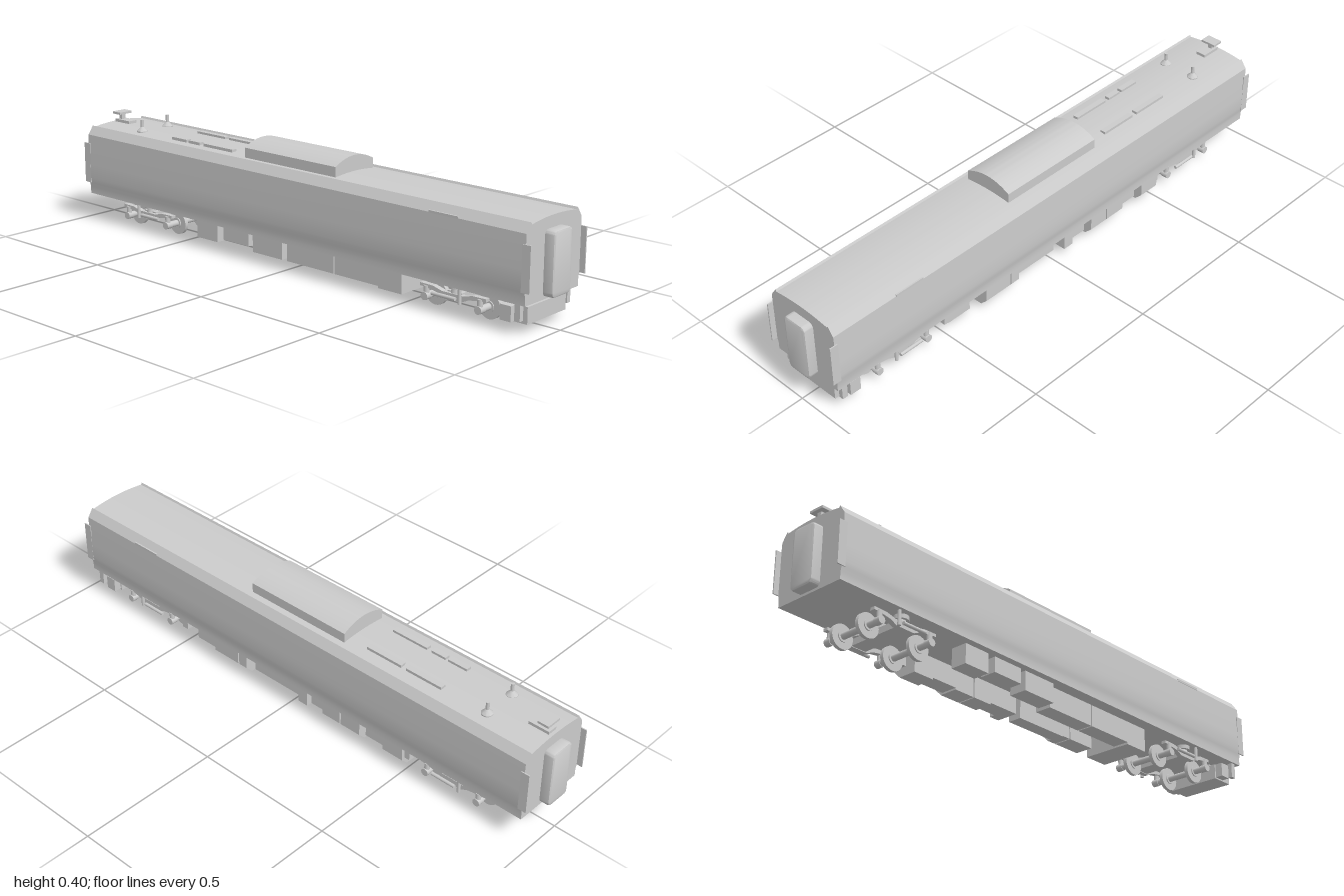
import * as THREE from 'three';
import { toCreasedNormals } from 'three/addons/utils/BufferGeometryUtils.js';

const material = new THREE.MeshStandardMaterial({ color: 0xcccccc });

function add(parent, name, geometry, x = 0, y = 0, z = 0) {
  const mesh = new THREE.Mesh(geometry, material);
  mesh.name = name;
  mesh.position.set(x, y, z);
  parent.add(mesh);
  return mesh;
}

// Box given by its limits on each axis
function box(parent, name, [x0, x1], [y0, y1], [z0, z1]) {
  const geometry = new THREE.BoxGeometry(x1 - x0, y1 - y0, z1 - z0);
  return add(parent, name, geometry, (x0 + x1) / 2, (y0 + y1) / 2, (z0 + z1) / 2);
}

// Cross-section in x and y, drawn out along z
function prism(parent, name, shape, z0, z1) {
  const geometry = new THREE.ExtrudeGeometry(shape, { depth: z1 - z0, bevelEnabled: false, curveSegments: 24 });
  return add(parent, name, toCreasedNormals(geometry, 0.3), 0, 0, z0);
}

function polygon(points) {
  return new THREE.Shape(points.map(([x, y]) => new THREE.Vector2(x, y)));
}

// Cylinder lying along x
function crossCylinder(parent, name, radius, length, x, y, z) {
  return add(parent, name, new THREE.CylinderGeometry(radius, radius, length, 28).rotateZ(Math.PI / 2), x, y, z);
}

function roundedRect(w, y0, y1, r) {
  const s = new THREE.Shape();
  s.moveTo(-w + r, y0).lineTo(w - r, y0).quadraticCurveTo(w, y0, w, y0 + r);
  s.lineTo(w, y1 - r).quadraticCurveTo(w, y1, w - r, y1);
  s.lineTo(-w + r, y1).quadraticCurveTo(-w, y1, -w, y1 - r);
  s.lineTo(-w, y0 + r).quadraticCurveTo(-w, y0, -w + r, y0);
  return s;
}

function makeBody(car) {
  // Shell with tumblehome sides, raised gutters and an arched roof
  const side = [[0.135, 0.098], [0.135, 0.123], [0.139, 0.14], [0.142, 0.158], [0.142, 0.21], [0.138, 0.316], [0.117, 0.346], [0.113, 0.339]];
  const shell = polygon(side);
  shell.quadraticCurveTo(0, 0.357, -0.113, 0.339);
  side.reverse().slice(1).forEach(([x, y]) => shell.lineTo(-x, y));
  prism(car, 'bodyShell', shell, -0.966, 0.966);

  for (const end of [1, -1]) {
    // Gangway with a softly bevelled outer face
    const geometry = new THREE.ExtrudeGeometry(roundedRect(0.041, 0.112, 0.304, 0.012), {
      depth: 0.026, bevelThickness: 0.008, bevelSize: 0.006, bevelSegments: 2, curveSegments: 6,
    });
    const gangway = add(car, 'gangway', toCreasedNormals(geometry, 0.6), 0, 0, end * 0.966);
    if (end < 0) gangway.rotation.y = Math.PI;
    for (const s of [1, -1]) {
      const plate = box(car, 'cornerPlate', [-0.002, 0.002], [0.14, 0.285], [-0.015, 0.015]);
      plate.position.x = s * 0.1405;
      plate.position.z = end * 0.97;
    }
  }
  // Rain strips above the side doors
  for (const s of [1, -1]) {
    const strip = box(car, 'rainStrip', [-0.003, 0.003], [-0.004, 0.004], [0.61, 0.72]);
    strip.position.x = s * 0.136;
    strip.position.y = 0.318;
  }
}

function makeRoof(car) {
  const unit = polygon([[-0.09, 0.335], [0.09, 0.335], [0.09, 0.376]]);
  unit.quadraticCurveTo(0, 0.425, -0.09, 0.376);
  prism(car, 'roofUnit', unit, -0.213, 0.193);

  // Low roof boxes
  for (const [x, z0, z1] of [
    [0.059, -0.43, -0.29], [0.059, -0.59, -0.45],
    [-0.064, -0.43, -0.29], [-0.064, -0.505, -0.45], [-0.064, -0.59, -0.515],
  ]) box(car, 'roofBox', [x - 0.01, x + 0.01], [0.338, 0.354], [z0, z1]);

  // Aerials
  const profile = [[0.019, 0], [0.019, 0.006], [0.009, 0.016], [0.006, 0.02], [0.006, 0.046], [0, 0.046]]
    .map(([r, y]) => new THREE.Vector2(r, y));
  const aerial = toCreasedNormals(new THREE.LatheGeometry(profile, 20), 0.5);
  for (const s of [1, -1]) add(car, 'aerial', aerial, s * 0.06, 0.342, -0.76);

  // Small raised platform at the back
  const horn = new THREE.Group();
  horn.name = 'roofHorn';
  box(horn, 'hornBase', [-0.018, 0.018], [0.34, 0.358], [-0.955, -0.88]);
  box(horn, 'hornPost', [-0.008, 0.008], [0.355, 0.38], [-0.945, -0.93]);
  box(horn, 'hornPlate', [-0.028, 0.028], [0.378, 0.386], [-0.958, -0.918]);
  car.add(horn);
}

function makeBogie() {
  const bogie = new THREE.Group();
  bogie.name = 'bogie';
  for (const z of [-0.102, 0.102]) {
    crossCylinder(bogie, 'axle', 0.011, 0.21, 0, 0.042, z);
    for (const s of [1, -1]) {
      crossCylinder(bogie, 'wheel', 0.041, 0.013, s * 0.056, 0.042, z);
      crossCylinder(bogie, 'wheelHub', 0.018, 0.02, s * 0.056, 0.042, z);
      crossCylinder(bogie, 'axleBox', 0.013, 0.024, s * 0.108, 0.042, z);
      const spring = new THREE.CylinderGeometry(0.009, 0.009, 0.026, 14);
      add(bogie, 'axleSpring', spring, s * 0.108, 0.062, z);
    }
  }
  // Side frames: dropped in the middle, raised over the axle boxes
  const half = [[0, 0.05], [0.035, 0.05], [0.06, 0.062], [0.11, 0.07], [0.125, 0.07], [0.125, 0.08], [0.075, 0.079], [0.04, 0.07], [0, 0.07]];
  const outline = polygon([...half, ...half.slice(1, -1).reverse().map(([z, y]) => [-z, y])]);
  const frame = new THREE.ExtrudeGeometry(outline, { depth: 0.018, bevelEnabled: false });
  frame.translate(0, 0, -0.009).rotateY(-Math.PI / 2);
  for (const s of [1, -1]) {
    add(bogie, 'sideFrame', frame, s * 0.102, 0, 0);
    add(bogie, 'airSpring', new THREE.CylinderGeometry(0.024, 0.024, 0.014, 24), s * 0.091, 0.091, 0);
    add(bogie, 'springSeat', new THREE.CylinderGeometry(0.014, 0.018, 0.02, 18), s * 0.091, 0.076, 0);
    add(bogie, 'damper', new THREE.CylinderGeometry(0.006, 0.006, 0.05, 12), s * 0.121, 0.072, 0.035);
    const yaw = new THREE.CylinderGeometry(0.006, 0.006, 0.09, 12).rotateX(Math.PI / 2);
    add(bogie, 'yawDamper', yaw, s * 0.123, 0.06, -0.025);
  }
  box(bogie, 'bolster', [-0.1, 0.1], [0.052, 0.074], [-0.028, 0.028]);
  add(bogie, 'pivot', new THREE.CylinderGeometry(0.022, 0.022, 0.03, 20), 0, 0.086, 0);
  return bogie;
}

function makeUnderfloor(car) {
  // Plain boxes: x limits, bottom, z limits
  for (const [x0, x1, y, z0, z1] of [
    [-0.09, 0.09, 0.015, 0.375, 0.47],
    [-0.09, -0.03, 0.022, 0.19, 0.375],
    [-0.09, -0.03, 0.022, -0.02, 0.185],
    [-0.11, -0.045, 0.03, -0.16, -0.025],
    [-0.11, -0.05, 0.045, -0.3, -0.18],
    [-0.11, -0.05, 0.03, -0.43, -0.33],
    [0.04, 0.09, 0.022, -0.02, 0.19],
    [0.04, 0.12, 0.03, -0.08, -0.04],
    [0.04, 0.1, 0.03, -0.16, -0.08],
    [0.04, 0.1, 0.03, -0.42, -0.32],
    [0.08, 0.12, 0.055, 0.49, 0.515],
    [0.08, 0.12, 0.055, -0.52, -0.5],
  ]) box(car, 'equipmentBox', [x0, x1], [y, 0.1], [z0, z1]);

  // Cabinets with the lower outer edge cut away
  const cabinet = polygon([[0.04, 0.1], [0.04, 0.024], [0.106, 0.024], [0.132, 0.05], [0.132, 0.1]]);
  for (const [z0, z1] of [[0.23, 0.34], [0.19, 0.225], [-0.235, -0.16], [-0.32, -0.24], [-0.5, -0.42]])
    prism(car, 'cabinet', cabinet, z0, z1);

  // Front end box with side brackets
  box(car, 'endBox', [-0.097, 0.097], [0.03, 0.084], [0.865, 0.95]);
  for (const s of [1, -1]) {
    const x = s * 0.11;
    box(car, 'endBracket', [x - 0.014, x + 0.014], [0.035, 0.084], [0.87, 0.91]);
    box(car, 'endHanger', [s * 0.055 - 0.006, s * 0.055 + 0.006], [0.08, 0.1], [0.88, 0.93]);
    box(car, 'endStep', [s * 0.12 - 0.008, s * 0.12 + 0.008], [0.045, 0.1], [0.925, 0.945]);
  }
}

export function createModel() {
  const car = new THREE.Group();
  car.name = 'railCar';
  makeBody(car);
  makeRoof(car);
  makeUnderfloor(car);
  for (const s of [1, -1]) {
    const bogie = makeBogie();
    bogie.position.z = s * 0.685;
    if (s < 0) bogie.rotation.y = Math.PI;
    car.add(bogie);
  }
  return car;
}
